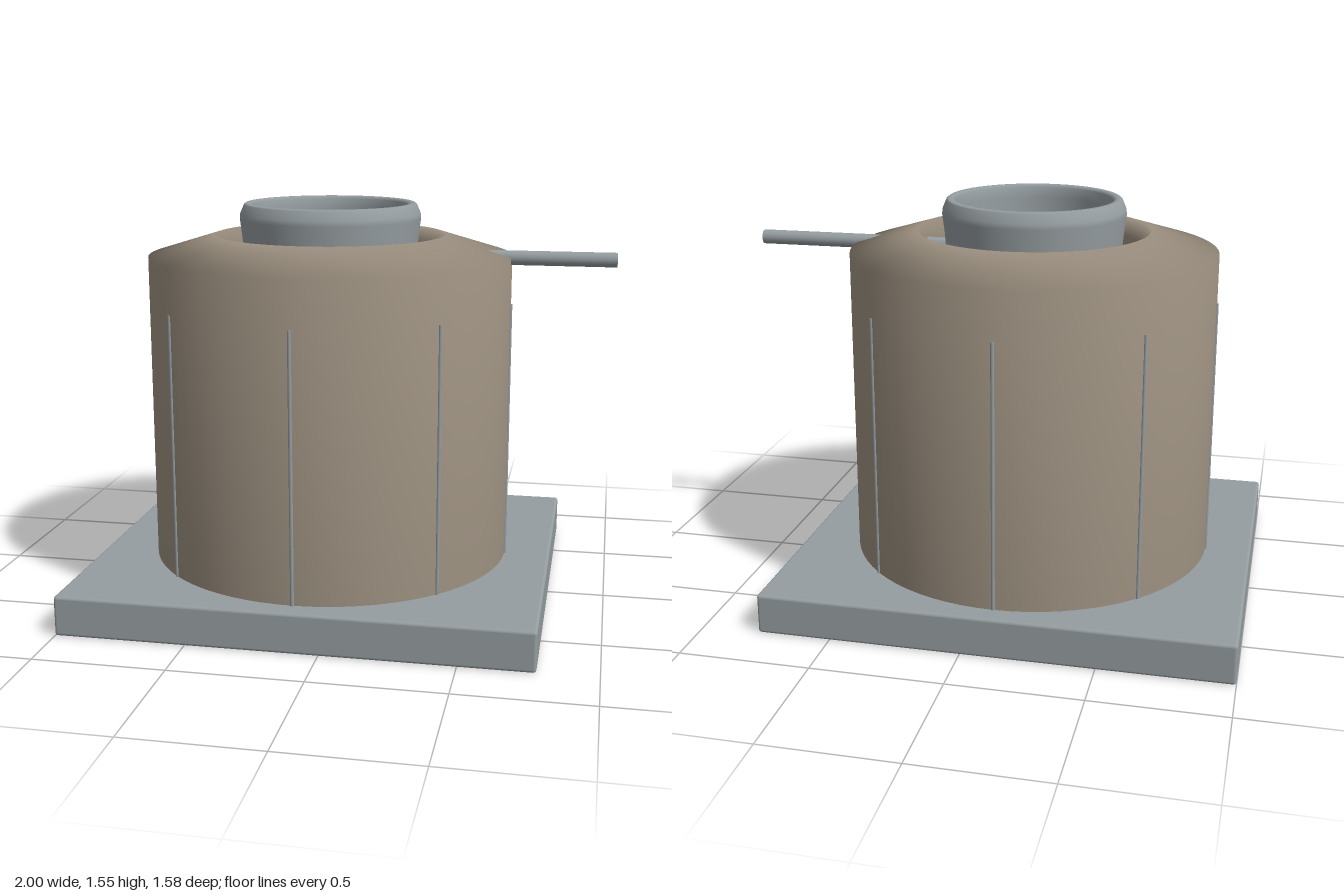
import * as THREE from 'three';
import { RoundedBoxGeometry } from 'three/addons/geometries/RoundedBoxGeometry.js';

const CX = -0.11; // vertical axis of the furnace

export function createModel() {
  const group = new THREE.Group();
  const clay = new THREE.MeshStandardMaterial({ color: 0x9c9080, name: 'clay', side: THREE.DoubleSide });
  const steel = new THREE.MeshStandardMaterial({ color: 0x959da0, name: 'steel' });

  const add = (name, geometry, material, x, y, z) => {
    const mesh = new THREE.Mesh(geometry, material);
    mesh.name = name;
    mesh.position.set(x, y, z);
    group.add(mesh);
    return mesh;
  };
  const lathe = (points) =>
    new THREE.LatheGeometry(points.map(([r, y]) => new THREE.Vector2(r, y)), 72);

  // Square base plate with softened edges
  add('basePlate', new RoundedBoxGeometry(1.78, 0.155, 1.58, 3, 0.012), steel, CX, 0.0775, 0);

  // Thick furnace wall: outer side, sloping shoulder, lip, inner well and floor
  add('furnaceBody', lathe([
    [0.71, 0.1], [0.71, 1.35], [0.45, 1.43], [0.42, 1.36], [0.4, 0.4], [0, 0.4],
  ]), clay, CX, 0, 0);

  // Hollow crucible standing in the well, with a bevelled rim and a rounded bowl
  const bowl = [];
  for (let i = 0; i <= 10; i++) {
    const a = (i / 10) * Math.PI / 2;
    bowl.push([0.285 * Math.cos(a), 1.0 - 0.285 * Math.sin(a)]);
  }
  add('crucible', lathe([
    [0, 0.4], [0.24, 0.4], [0.28, 0.6], [0.345, 1.42], [0.354, 1.49], [0.352, 1.51],
    [0.337, 1.545], [0.33, 1.55], [0.312, 1.55], [0.302, 1.54], [0.298, 1.5], ...bowl,
  ]), steel, CX, 0, 0);

  // Slim vertical ribs around the outer wall
  for (let i = 0; i < 8; i++) {
    const a = (i * Math.PI) / 4;
    add('rib' + (i + 1), new THREE.CylinderGeometry(0.007, 0.007, 1.07, 10), steel,
      CX + 0.71 * Math.cos(a), 0.635, 0.71 * Math.sin(a));
  }

  // Probe rod passing through the shoulder into the well
  const rod = add('probeRod', new THREE.CylinderGeometry(0.028, 0.028, 0.78, 24), steel, 0.61, 1.35, 0);
  rod.rotation.z = Math.PI / 2;

  return group;
}
